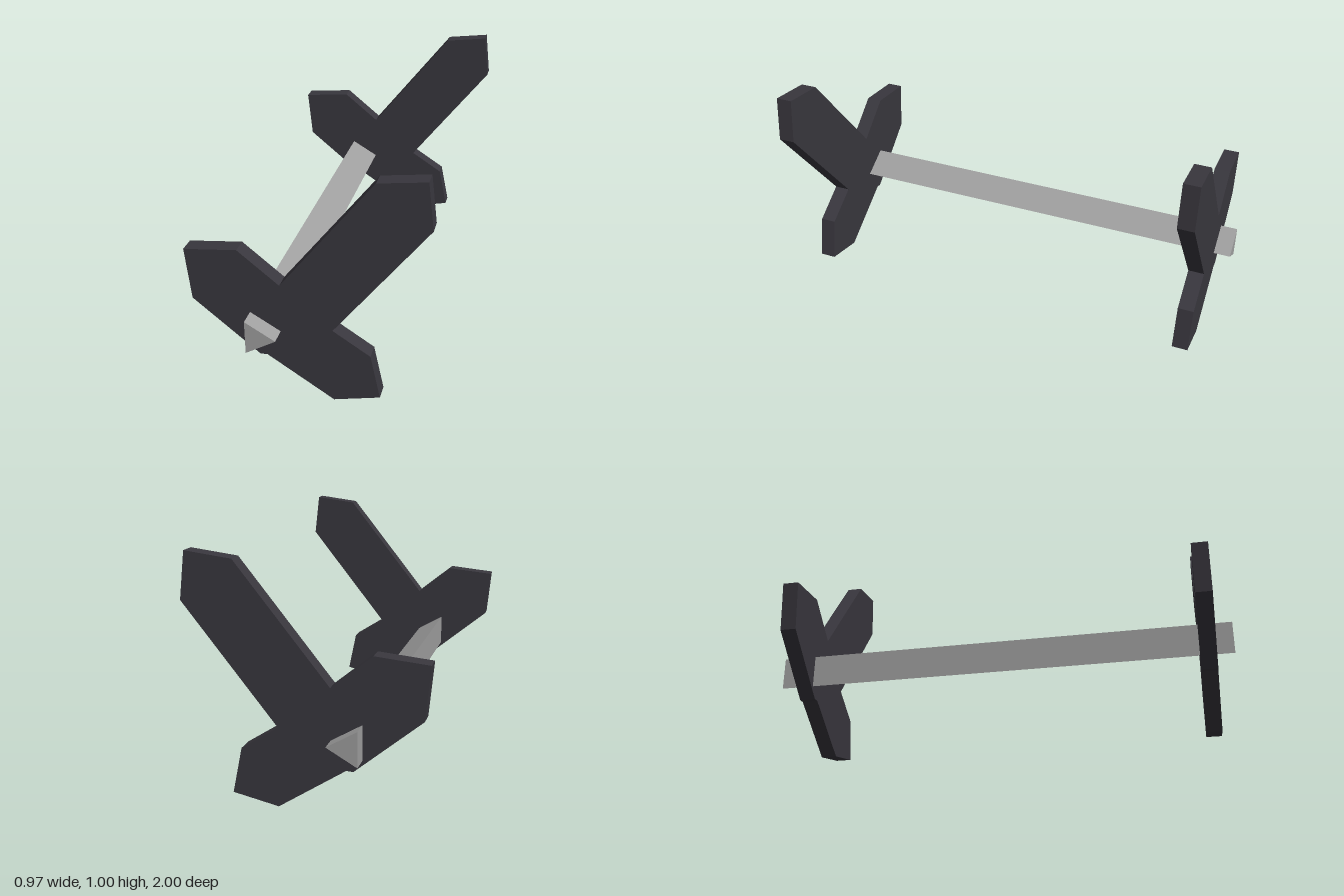
import * as THREE from 'three';

const charcoal = new THREE.MeshStandardMaterial({ name: 'charcoal', color: 0x39373e, flatShading: true });
const grey = new THREE.MeshStandardMaterial({ name: 'grey', color: 0xa0a0a0, flatShading: true });

// Straight-edged outline in x/y, extruded between z0 and z0 + depth
function slab(name, points, z0, depth, material) {
  const shape = new THREE.Shape(points.map(([x, y]) => new THREE.Vector2(x, y)));
  const geometry = new THREE.ExtrudeGeometry(shape, { depth, bevelEnabled: false });
  geometry.translate(0, 0, z0);
  const mesh = new THREE.Mesh(geometry, material);
  mesh.name = name;
  return mesh;
}

export function createModel() {
  const group = new THREE.Group();
  group.name = 'bladedAxle';

  // Three pointed blades meeting in one flat plate
  const blades = [
    [0.272, 0.976], [-0.104, 0.503],                                    // long blade, inner edge
    [-0.27, 0.638], [-0.487, 0.617], [-0.465, 0.4], [-0.193, 0.176],    // upper left blade
    [-0.165, 0.178], [0.108, 0.002], [0.295, 0.043], [0.256, 0.231],    // lower right blade
    [0.105, 0.328], [0.485, 0.808], [0.463, 1],                         // long blade, outer edge
  ];
  const thickness = 0.07;
  for (const [name, z] of [['frontBlades', 0.891], ['backBlades', -0.891]]) {
    group.add(slab(name, blades, z - thickness / 2, thickness, charcoal));
  }

  // Three-sided bar running through both plates
  const triangle = [[-0.228, 0.367], [-0.228, 0.224], [-0.105, 0.295]];
  group.add(slab('axleBar', triangle, -1, 2, grey));

  return group;
}
